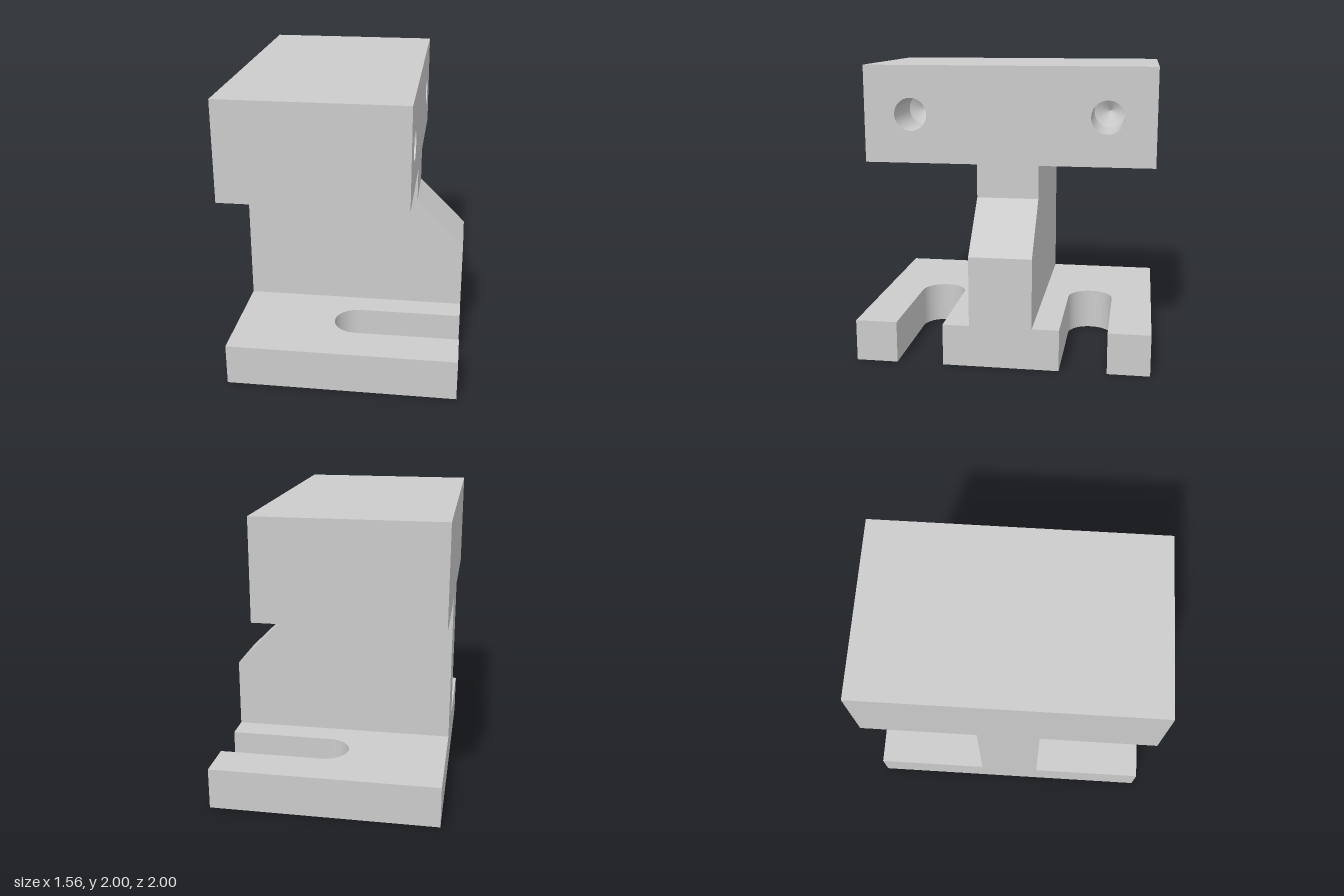
import * as THREE from 'three';
import { toCreasedNormals } from 'three/addons/utils/BufferGeometryUtils.js';

const BACK = -0.78, FRONT = 0.78, HEAD_FRONT = 0.445;
const BASE_TOP = 0.285, HEAD_BOTTOM = 1.33, TOP = 2;
const WEB = 0.2125;                                   // half thickness of the web
const SLOT = { z: 0.555, r: 0.16, x: 0.06 };          // open mounting slots
const HOLE = { z: 0.675, y: 1.665, r: 0.113, depth: 0.4, tip: 0.07 };

const grey = new THREE.MeshStandardMaterial({ color: 0xcccccc });
const greyInside = new THREE.MeshStandardMaterial({ color: 0xcccccc, side: THREE.BackSide });

function addMesh(group, name, geometry, material = grey) {
  const mesh = new THREE.Mesh(geometry, material);
  mesh.name = name;
  group.add(mesh);
  return mesh;
}

function extrude(shape, depth) {
  const geometry = new THREE.ExtrudeGeometry(shape, { depth, bevelEnabled: false, curveSegments: 32 });
  return toCreasedNormals(geometry, Math.PI / 6);
}

export function createModel() {
  const model = new THREE.Group();
  model.name = 'slottedBracket';

  // Base plate with two round-ended slots open towards +x
  const plate = new THREE.Shape();
  plate.moveTo(BACK, -1);
  plate.lineTo(FRONT, -1);
  for (const z of [-SLOT.z, SLOT.z]) {
    plate.lineTo(FRONT, z - SLOT.r);
    plate.lineTo(SLOT.x, z - SLOT.r);
    plate.absarc(SLOT.x, z, SLOT.r, -Math.PI / 2, -Math.PI * 1.5, true);
    plate.lineTo(FRONT, z + SLOT.r);
  }
  plate.lineTo(FRONT, 1);
  plate.lineTo(BACK, 1);
  plate.closePath();
  addMesh(model, 'basePlate', extrude(plate, BASE_TOP).rotateX(-Math.PI / 2));

  // Upright web with a sloped shoulder
  const web = new THREE.Shape([
    [BACK, BASE_TOP], [FRONT, BASE_TOP], [FRONT, 0.765],
    [HEAD_FRONT, 1.1], [HEAD_FRONT, HEAD_BOTTOM], [BACK, HEAD_BOTTOM],
  ].map(([x, y]) => new THREE.Vector2(x, y)));
  addMesh(model, 'web', extrude(web, WEB * 2).translate(0, 0, -WEB));

  // Head block: drilled front portion and solid rear portion
  const head = new THREE.Group();
  head.name = 'head';
  model.add(head);
  const drilled = HOLE.depth + HOLE.tip;
  const split = HEAD_FRONT - drilled;
  const face = new THREE.Shape([
    [-1, HEAD_BOTTOM], [1, HEAD_BOTTOM], [1, TOP], [-1, TOP],
  ].map(([x, y]) => new THREE.Vector2(x, y)));
  for (const side of [-1, 1]) {
    const hole = new THREE.Path();
    hole.absarc(side * HOLE.z, HOLE.y, HOLE.r, 0, Math.PI * 2, true);
    face.holes.push(hole);
  }
  addMesh(head, 'headFront', extrude(face, drilled).rotateY(Math.PI / 2).translate(split, 0, 0));
  addMesh(head, 'headRear', new THREE.BoxGeometry(split - BACK, TOP - HEAD_BOTTOM, 2))
    .position.set((split + BACK) / 2, (TOP + HEAD_BOTTOM) / 2, 0);

  // Conical bottoms of the drilled holes
  const tip = new THREE.ConeGeometry(HOLE.r, HOLE.tip, 64, 1, true).rotateZ(Math.PI / 2);
  for (const side of [-1, 1]) {
    addMesh(head, 'holeTip', tip, greyInside)
      .position.set(split + HOLE.tip / 2, HOLE.y, side * HOLE.z);
  }
  return model;
}
